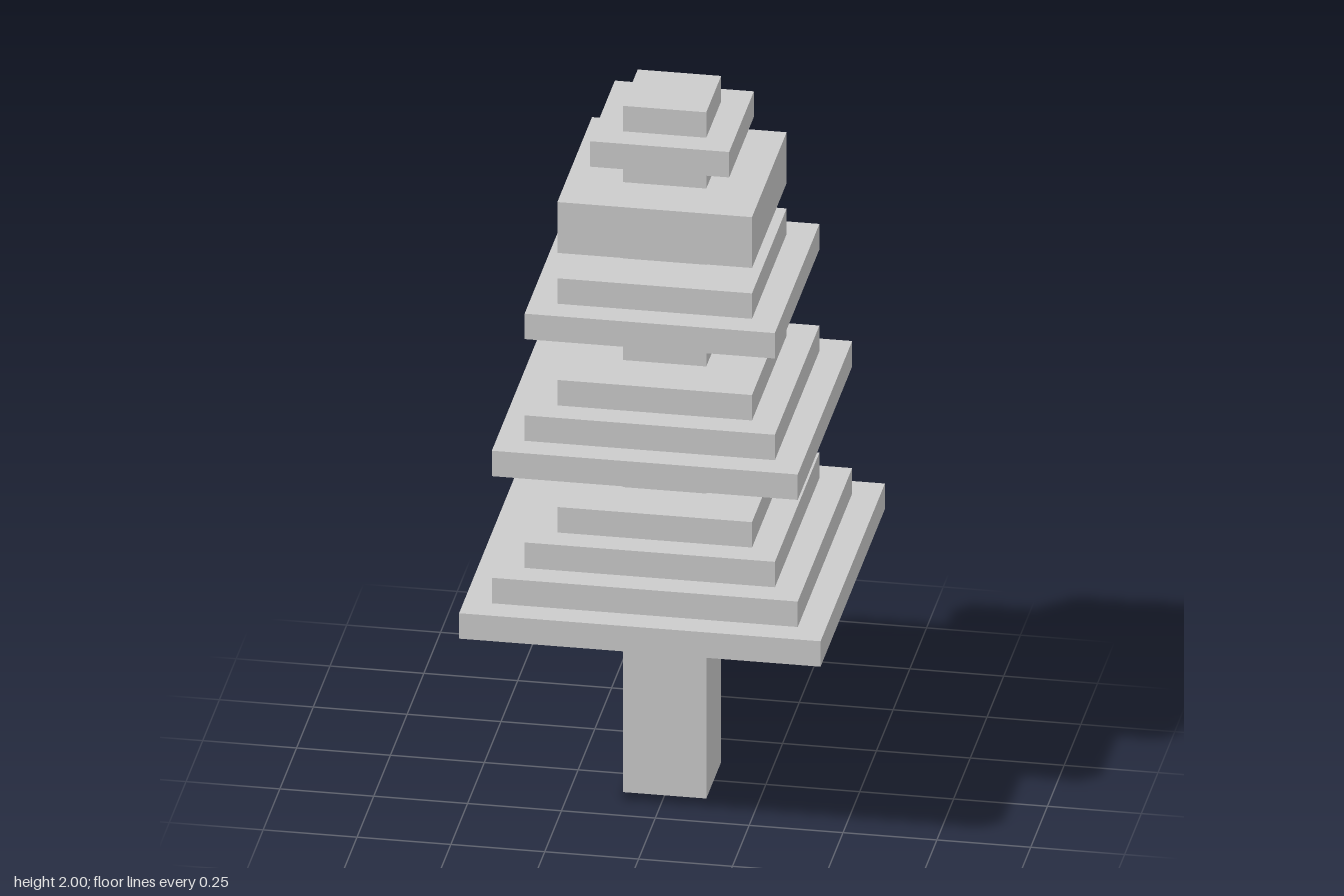
import * as THREE from 'three';

const U = 2 / 27; // one block: the tree is 27 blocks tall

export function createModel() {
  const tree = new THREE.Group();
  tree.name = 'blockTree';
  const material = new THREE.MeshStandardMaterial({ color: 0xcccccc, flatShading: true });

  const square = (Type, blocks) => {
    const h = (blocks * U) / 2;
    return new Type([[-h, -h], [h, -h], [h, h], [-h, h]].map(([x, y]) => new THREE.Vector2(x, y)));
  };

  // Square slab, width and height in blocks, with an optional square hole
  const addSlab = (parent, name, width, base, height, hole = 0) => {
    let geometry;
    if (hole) {
      const shape = square(THREE.Shape, width);
      shape.holes.push(square(THREE.Path, hole));
      geometry = new THREE.ExtrudeGeometry(shape, { depth: height * U, bevelEnabled: false });
      geometry.rotateX(-Math.PI / 2);
    } else {
      geometry = new THREE.BoxGeometry(width * U, height * U, width * U);
      geometry.translate(0, (height * U) / 2, 0);
    }
    const mesh = new THREE.Mesh(geometry, material);
    mesh.name = name;
    mesh.position.y = base * U;
    parent.add(mesh);
  };

  // Trunk runs through to the tip
  addSlab(tree, 'trunk', 3, 0, 27);

  // Stepped tiers, hollow underneath: rings two blocks wide, closing on the trunk
  const tiers = [[8, 13], [14, 11], [19, 9]];
  tiers.forEach(([base, widest], i) => {
    const tier = new THREE.Group();
    tier.name = `foliageTier${i + 1}`;
    for (let width = widest, y = base; width >= 7; width -= 2, y++) {
      addSlab(tier, 'foliageLayer', width, y, 1, width > 7 ? width - 4 : 0);
    }
    tree.add(tier);
  });

  // Solid upper foliage
  addSlab(tree, 'upperFoliage', 7, 22, 2);
  addSlab(tree, 'topFoliage', 5, 25, 1);

  return tree;
}
